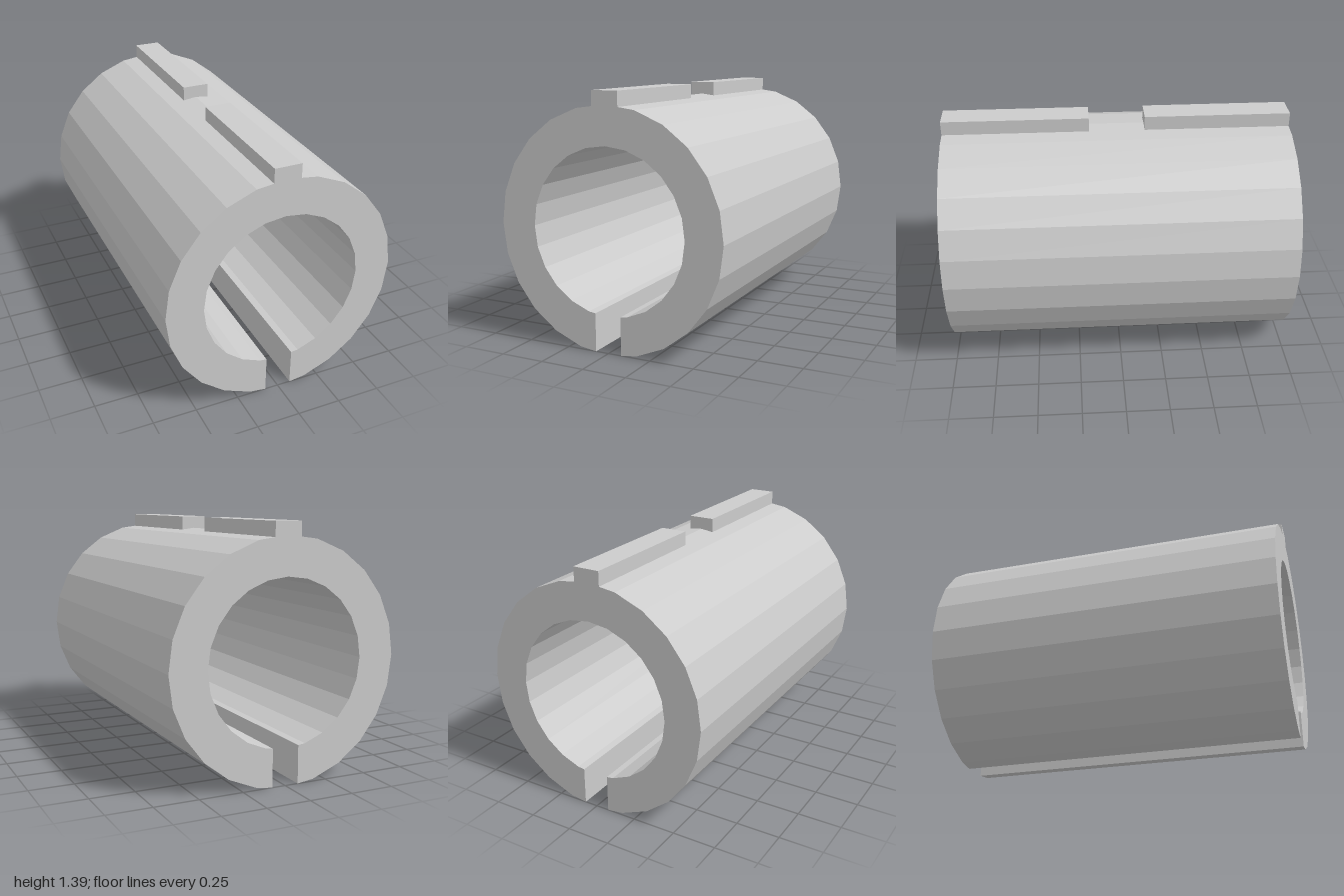
import * as THREE from 'three';

const OUTER = 0.6645, INNER = 0.453, SIDES = 24;
const HALF_SLOT = 0.077, LENGTH = 2;
const STEP = (Math.PI * 2) / SIDES;
// height of the axis, so that the slot's lower edges rest on y = 0
const AXIS_Y = OUTER - HALF_SLOT * Math.tan(STEP / 2);

// Faceted arc running from one side of the bottom slot round to the other
function slottedArc(radius) {
  const edgeY = -radius + HALF_SLOT * Math.tan(STEP / 2);
  const points = [new THREE.Vector2(HALF_SLOT, edgeY)];
  for (let i = 1; i < SIDES; i++) {
    const a = -Math.PI / 2 + i * STEP;
    points.push(new THREE.Vector2(Math.cos(a) * radius, Math.sin(a) * radius));
  }
  points.push(new THREE.Vector2(-HALF_SLOT, edgeY));
  return points;
}

export function createModel() {
  const model = new THREE.Group();
  model.name = 'splitSleeve';
  const material = new THREE.MeshStandardMaterial({ color: 0xcccccc, flatShading: true });

  // Tube wall with a slot along the bottom
  const section = new THREE.Shape([...slottedArc(OUTER), ...slottedArc(INNER).reverse()]);
  const wall = new THREE.ExtrudeGeometry(section, { depth: LENGTH, bevelEnabled: false });
  wall.translate(0, AXIS_Y, -LENGTH / 2);
  const sleeve = new THREE.Mesh(wall, material);
  sleeve.name = 'sleeve';
  model.add(sleeve);

  // Two key ribs on top, separated by a gap in the middle
  const ribTop = 1.39, ribBase = 1.26, gap = 0.16;
  const ribLength = LENGTH / 2 - gap;
  for (const [side, name] of [[1, 'frontRib'], [-1, 'backRib']]) {
    const rib = new THREE.Mesh(
      new THREE.BoxGeometry(HALF_SLOT * 2, ribTop - ribBase, ribLength), material);
    rib.position.set(0, (ribTop + ribBase) / 2, side * (gap + ribLength / 2));
    rib.name = name;
    model.add(rib);
  }
  return model;
}
